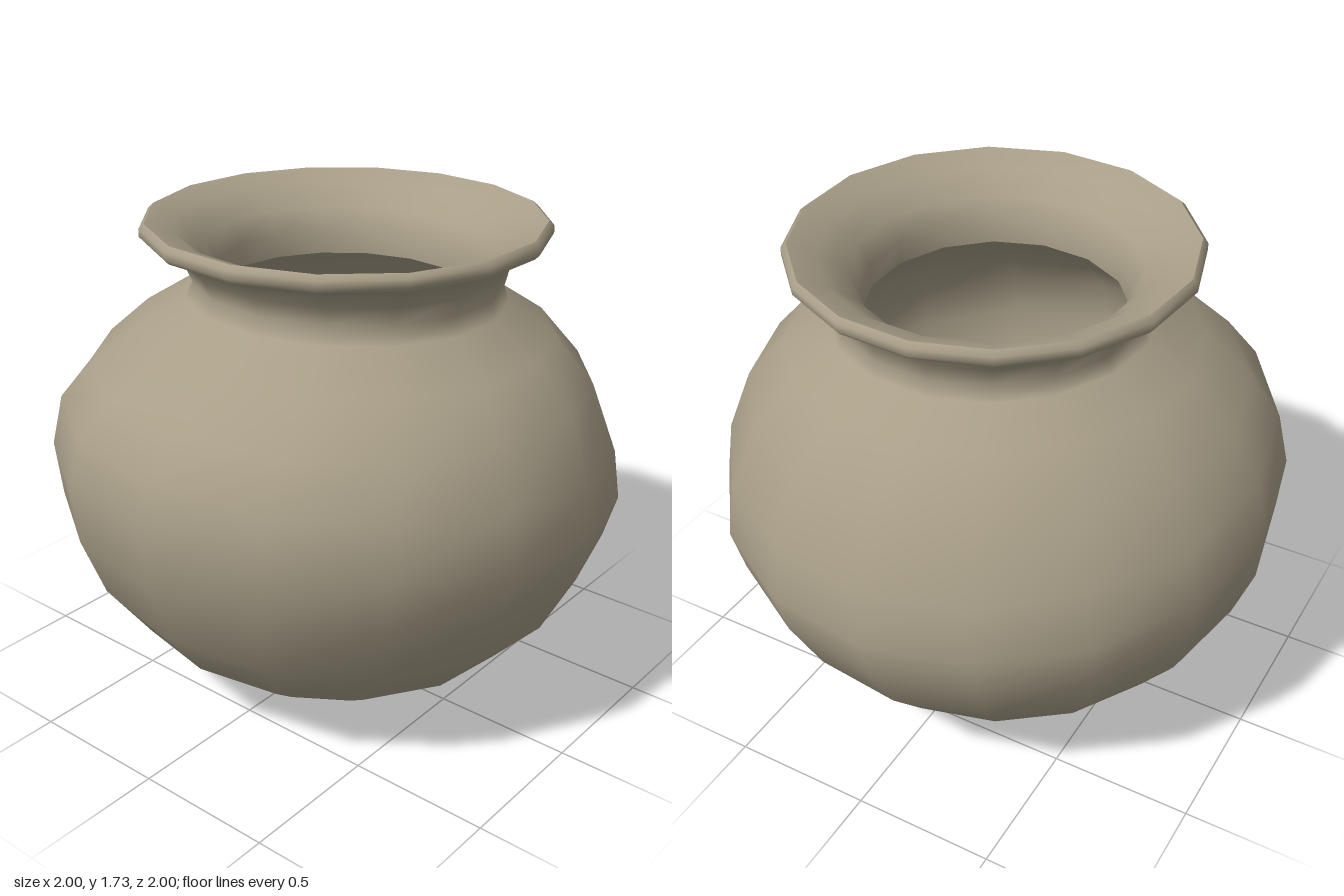
import * as THREE from 'three';

const SIDES = 16;

// Rings: [radius, height, centre x, centre z, tilt along x, tilt along z]
const OUTER = [
  [0, 0.012, 0.03, -0.06, 0, 0],
  [0.17, 0.006, 0.03, -0.07, -0.004, 0.001],
  [0.31, 0.022, 0.02, -0.07, 0, -0.01],
  [0.51, 0.11, 0.01, -0.065, -0.005, -0.03],
  [0.715, 0.26, 0, -0.05, -0.025, -0.035],
  [0.875, 0.455, 0, -0.04, -0.04, -0.05],
  [0.97, 0.67, 0, -0.015, -0.06, -0.03],
  [1.0, 0.845, 0, 0, -0.09, -0.035],
  [0.965, 1.025, 0, 0.01, -0.085, -0.04],
  [0.865, 1.21, 0, 0.02, -0.03, -0.015],
  [0.715, 1.36, 0.005, 0.03, -0.01, -0.015],
  [0.55, 1.455, 0.02, 0.025, -0.015, -0.005],
  [0.528, 1.51, 0.02, 0.03, -0.02, 0],
  [0.55, 1.575, 0.02, 0.025, -0.015, 0],
  [0.605, 1.64, 0.02, 0.02, -0.01, 0.005],
  [0.675, 1.668, 0.02, 0.02, -0.01, 0.005],
];
const LIP = [
  OUTER[OUTER.length - 1],
  [0.69, 1.685, 0.02, 0.02, -0.01, 0.005],
  [0.69, 1.71, 0.02, 0.02, -0.01, 0.005],
  [0.672, 1.726, 0.02, 0.02, -0.01, 0.004],
];
const FUNNEL = [
  LIP[LIP.length - 1],
  [0.58, 1.69, 0.02, 0.02, -0.01, 0],
  [0.49, 1.62, 0.015, 0.02, -0.01, 0],
  [0.45, 1.54, 0.015, 0.02, -0.01, 0],
  [0.45, 1.46, 0.015, 0.02, -0.01, 0],
];
// The inside wall follows the belly at an even thickness
const INSIDE = [
  FUNNEL[FUNNEL.length - 1],
  ...OUTER.slice(2, 11).reverse().map(([r, y, ...rest]) =>
    [r * 0.92, 0.84 + (y - 0.84) * 0.92, ...rest]),
  [0, 0.08, 0.02, -0.06, 0, 0],
];

// Join slightly shifted and tilted rings into a smooth surface
function hoops(name, rings, material) {
  const pos = [], index = [];
  rings.forEach(([r, y, cx, cz, tx, tz]) => {
    const twist = -0.04 - 0.1 * THREE.MathUtils.smoothstep(y, 1.0, 1.6);
    for (let i = 0; i < SIDES; i++) {
      const t = (i / SIDES) * Math.PI * 2;
      const a = t + twist - 0.05 * Math.sin(t);
      const c = Math.cos(a), s = Math.sin(a);
      pos.push(cx + r * c, y + tx * c + tz * s, cz + r * s);
    }
  });
  for (let j = 0; j < rings.length - 1; j++) {
    for (let i = 0; i < SIDES; i++) {
      const k = (i + 1) % SIDES;
      const a = j * SIDES + i, b = j * SIDES + k;
      const c = a + SIDES, d = b + SIDES;
      if (rings[j][0] > 0) index.push(a, c, b);
      if (rings[j + 1][0] > 0) index.push(b, c, d);
    }
  }
  const geometry = new THREE.BufferGeometry();
  geometry.setAttribute('position', new THREE.Float32BufferAttribute(pos, 3));
  geometry.setIndex(index);
  geometry.computeVertexNormals();
  const mesh = new THREE.Mesh(geometry, material);
  mesh.name = name;
  return mesh;
}

export function createModel() {
  const clay = new THREE.MeshStandardMaterial({ color: 0xa89e88 });
  clay.name = 'clay';

  const pot = new THREE.Group();
  pot.name = 'clayPot';
  pot.add(
    hoops('bellyAndNeck', OUTER, clay),
    hoops('lip', LIP, clay),
    hoops('mouthFunnel', FUNNEL, clay),
    hoops('insideWall', INSIDE, clay),
  );
  return pot;
}
